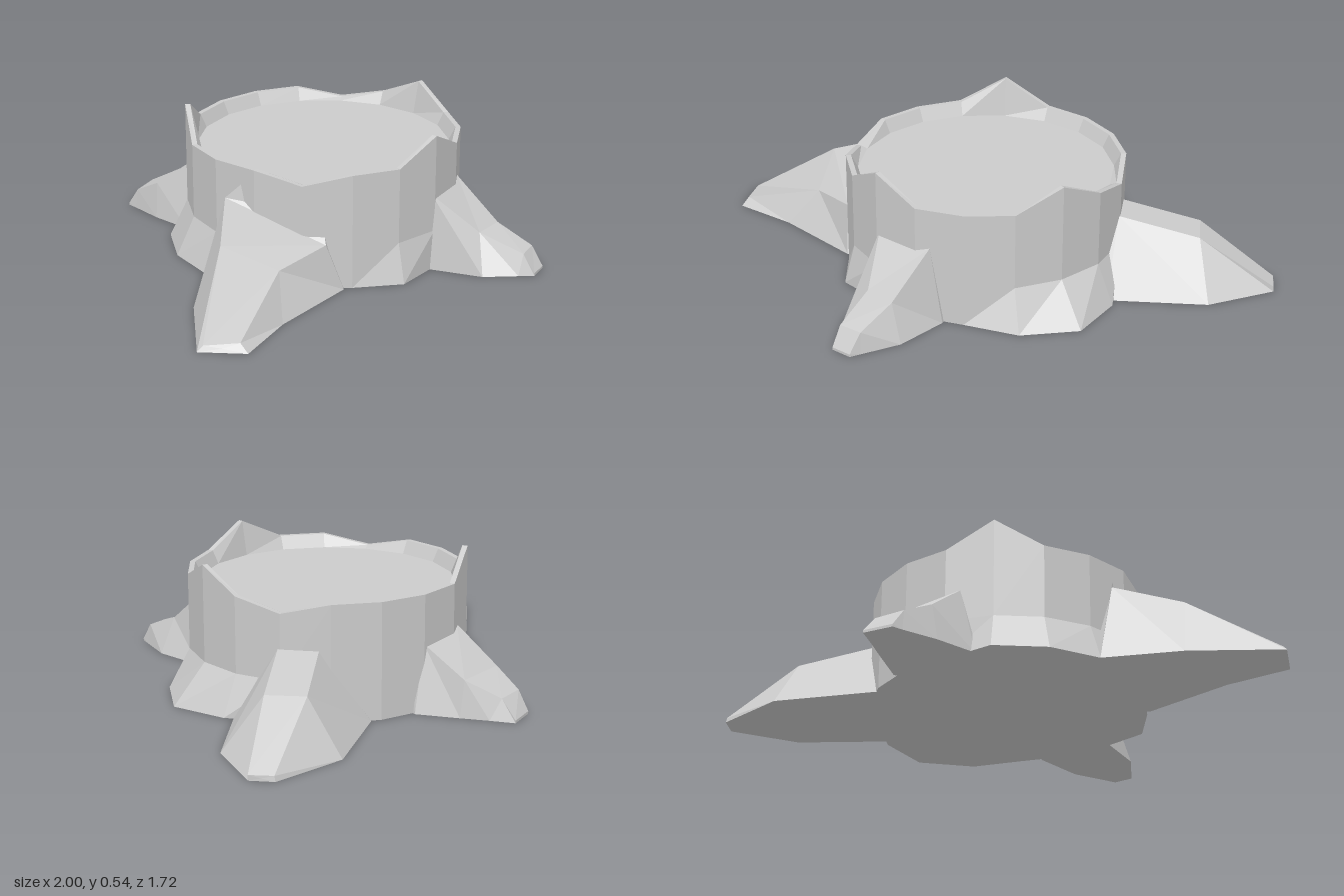
import * as THREE from 'three';

const material = new THREE.MeshStandardMaterial({ color: 0xcccccc, flatShading: true });

// Joins point rings into a faceted skin; each quad faces outward
function loft(name, rings, closeStart, closeEnd) {
  const pos = [];
  const tri = (a, b, c) => pos.push(...a, ...b, ...c);
  const n = rings[0].length;
  for (let i = 0; i < rings.length - 1; i++) {
    for (let j = 0; j < n; j++) {
      const k = (j + 1) % n;
      const a = rings[i][j], b = rings[i][k], c = rings[i + 1][k], d = rings[i + 1][j];
      tri(a, b, c);
      tri(a, c, d);
    }
  }
  const centre = (ring) => [0, 1, 2].map((i) => ring.reduce((s, p) => s + p[i], 0) / n);
  const first = rings[0], last = rings[rings.length - 1];
  for (let j = 0; j < n; j++) {
    const k = (j + 1) % n;
    if (closeStart) tri(centre(first), first[k], first[j]);
    if (closeEnd) tri(centre(last), last[j], last[k]);
  }
  const geometry = new THREE.BufferGeometry();
  geometry.setAttribute('position', new THREE.Float32BufferAttribute(pos, 3));
  geometry.computeVertexNormals();
  const mesh = new THREE.Mesh(geometry, material);
  mesh.name = name;
  return mesh;
}

// Trunk: 18 sides, flared foot, jagged rim and sunken cut face
function createTrunk() {
  const sides = 18;
  const foot = [0.53, 0.53, 0.53, 0.61, 0.66, 0.6, 0.53, 0.53, 0.53,
    0.53, 0.53, 0.6, 0.6, 0.59, 0.55, 0.53, 0.53, 0.57];
  const rimHeight = { 0: 0.525, 4: 0.52, 6: 0.4, 11: 0.54, 15: 0.4 };
  const ring = (radius, height) => Array.from({ length: sides }, (_, k) => {
    const a = (k / sides) * Math.PI * 2;
    const r = radius(k);
    return [0.09 + r * Math.sin(a), height(k), -0.015 + r * Math.cos(a)];
  });
  const rim = (k) => rimHeight[k] ?? 0.44;
  return loft('trunk', [
    ring((k) => foot[k], () => 0),
    ring(() => 0.53, () => 0.15),
    ring(() => 0.53, rim),
    ring(() => 0.51, rim),
    ring(() => 0.485, () => 0.39),
  ], true, true);
}

// Roots: sections from trunk to tip, each left ground, left ridge, right ridge, right ground
const roots = {
  frontRoot: [
    [[0.34, 0, 0.38], [0.3, 0.3, 0.42], [0.1, 0.3, 0.45], [0.07, 0, 0.42]],
    [[0.37, 0, 0.44], [0.32, 0.29, 0.455], [0.09, 0.29, 0.5], [0.06, 0, 0.5]],
    [[0.39, 0, 0.65], [0.33, 0.14, 0.64], [0.2, 0.14, 0.645], [0.13, 0, 0.71]],
    [[0.35, 0, 0.8], [0.34, 0.08, 0.79], [0.25, 0.08, 0.81], [0.22, 0, 0.81]],
    [[0.34, 0, 0.84], [0.34, 0.01, 0.84], [0.26, 0.01, 0.855], [0.26, 0, 0.855]],
  ],
  backRoot: [
    [[-0.18, 0, -0.36], [-0.12, 0.28, -0.4], [0.08, 0.26, -0.46], [0.12, 0, -0.45]],
    [[-0.21, 0, -0.47], [-0.14, 0.27, -0.48], [0.08, 0.25, -0.53], [0.14, 0, -0.55]],
    [[-0.2, 0, -0.64], [-0.18, 0.14, -0.65], [0.03, 0.14, -0.69], [0.05, 0, -0.69]],
    [[-0.175, 0, -0.78], [-0.17, 0.08, -0.77], [-0.05, 0.08, -0.8], [-0.01, 0, -0.78]],
    [[-0.17, 0, -0.82], [-0.17, 0.01, -0.82], [-0.06, 0.01, -0.86], [-0.06, 0, -0.86]],
  ],
  backLeftRoot: [
    [[0.25, 0, -0.42], [0.4, 0.28, -0.33], [0.5, 0.28, -0.22], [0.55, 0, -0.1]],
    [[0.31, 0, -0.5], [0.45, 0.27, -0.38], [0.55, 0.27, -0.27], [0.64, 0, -0.13]],
    [[0.64, 0, -0.715], [0.68, 0.2, -0.58], [0.78, 0.2, -0.47], [0.91, 0, -0.39]],
    [[0.94, 0, -0.72], [0.94, 0.02, -0.715], [1, 0.02, -0.65], [1, 0, -0.65]],
  ],
  rightRoot: [
    [[-0.2, 0, 0.3], [-0.28, 0.26, 0.27], [-0.41, 0.4, 0.04], [-0.4, 0, -0.1]],
    [[-0.28, 0, 0.375], [-0.33, 0.18, 0.33], [-0.47, 0.32, -0.03], [-0.49, 0, -0.12]],
    [[-0.65, 0, 0.39], [-0.56, 0.15, 0.3], [-0.68, 0.24, 0.13], [-0.74, 0, 0.05]],
    [[-0.9, 0, 0.445], [-0.9, 0.03, 0.41], [-0.98, 0.02, 0.31], [-1, 0, 0.3]],
  ],
};

export function createModel() {
  const group = new THREE.Group();
  group.name = 'treeStump';
  group.add(createTrunk());
  for (const [name, sections] of Object.entries(roots)) {
    group.add(loft(name, sections, true, true));
  }
  return group;
}
